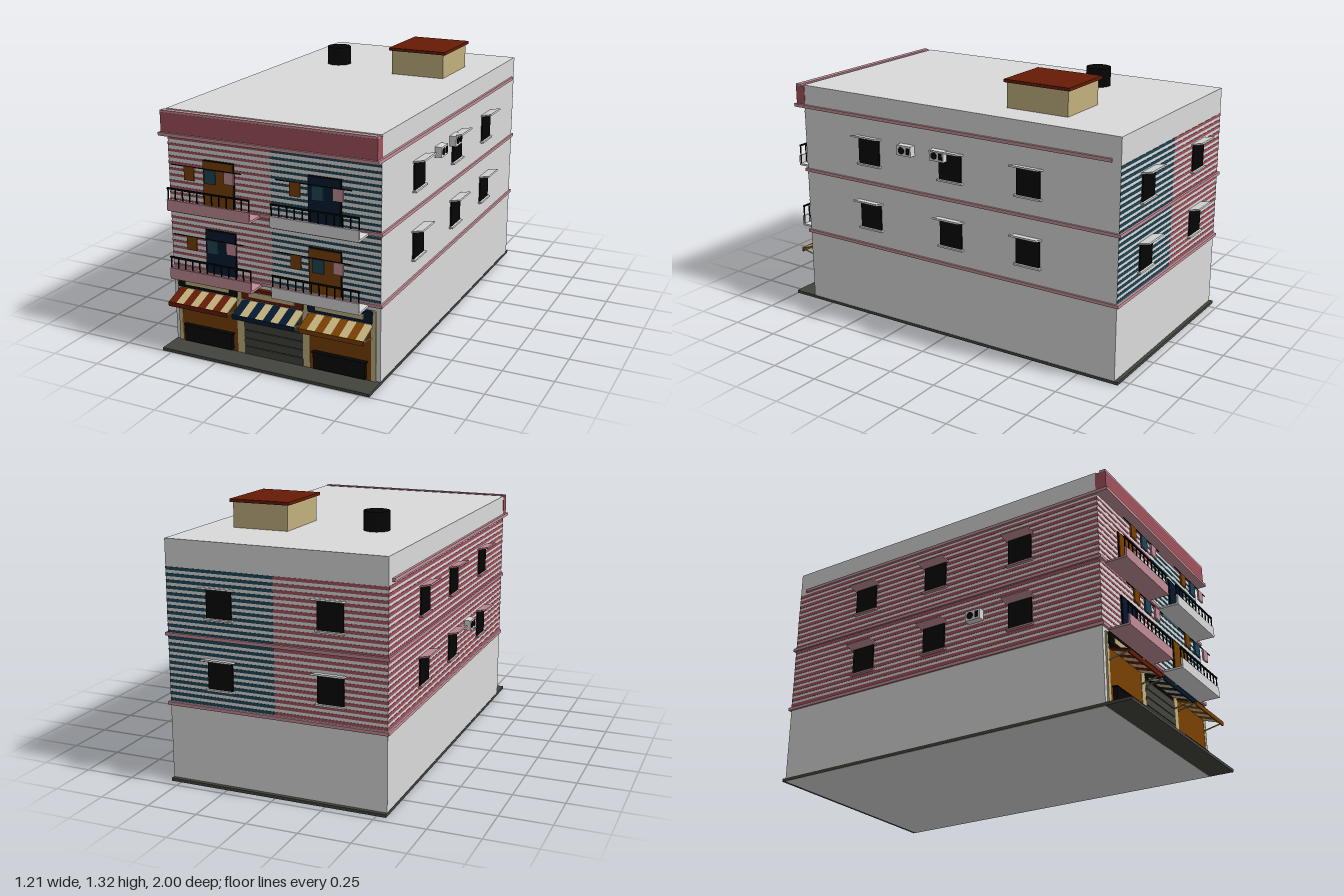
import * as THREE from 'three';

const mat = (name, color) => {
  const m = new THREE.MeshStandardMaterial({ color });
  m.name = name;
  return m;
};

export function createModel() {
  const white = mat('white plaster', 0xdadada), pink = mat('light pink', 0xc28d97);
  const rose = mat('dark rose', 0xa2525c), teal = mat('teal', 0x1e4656);
  const brown = mat('orange brown', 0x794002), navy = mat('navy', 0x031a30);
  const beige = mat('beige', 0xc2b07e), red = mat('rust red', 0x661b05);
  const black = mat('black', 0x050505), grey = mat('dark grey', 0x43443e);

  const model = new THREE.Group();
  model.name = 'apartmentBuilding';

  const add = (parent, name, geo, m) => {
    const mesh = new THREE.Mesh(geo, m);
    mesh.name = name;
    parent.add(mesh);
    return mesh;
  };
  // Box given by its minimum and maximum on each axis
  const box = (parent, name, m, x0, x1, y0, y1, z0, z1) => {
    const mesh = add(parent, name, new THREE.BoxGeometry(x1 - x0, y1 - y0, z1 - z0), m);
    mesh.position.set((x0 + x1) / 2, (y0 + y1) / 2, (z0 + z1) / 2);
    return mesh;
  };
  const group = (name, x = 0, y = 0, z = 0, turn = 0) => {
    const g = new THREE.Group();
    g.name = name;
    g.position.set(x, y, z);
    g.rotation.y = turn;
    model.add(g);
    return g;
  };

  const W = 0.546, FRONT = 0.875, BACK = -0.943, T = 0.0015;

  // Main block and pavement
  box(model, 'body', white, -W, W, 0, 1.178, BACK, FRONT);
  box(model, 'pavement', grey, -W - 0.002, W + 0.002, 0.001, 0.016, -0.962, 1);

  // Painted stripes on the upper storeys: rose on the right half, teal on the left
  const stripes = group('wallStripes');
  const pitch = 0.03;
  for (let y = 0.402; y < 1.05; y += pitch) {
    const stripe = (name, m, fill, x0, x1, z0, z1) =>
      box(stripes, name, m, x0, x1, y, y + pitch * fill, z0, z1);
    stripe('frontRoseStripe', rose, 0.4, -W, 0, FRONT - T, FRONT + T);
    stripe('frontTealStripe', teal, 0.4, 0, W, FRONT - T, FRONT + T);
    stripe('sideRoseStripe', rose, 0.55, -W - T, -W + T, BACK, FRONT);
    stripe('backRoseStripe', rose, 0.5, -W, 0, BACK - T, BACK + T);
    stripe('backTealStripe', teal, 0.5, 0, W, BACK - T, BACK + T);
  }

  // Floor bands and front parapet
  for (const y of [0.382, 0.72])
    box(model, 'floorBand', pink, -0.555, 0.555, y, y + 0.016, -0.955, 0.886);
  box(model, 'roofBand', pink, -0.558, 0.558, 1.06, 1.076, -0.9, 0.935);
  box(model, 'parapet', rose, -0.548, 0.548, 1.076, 1.17, 0.87, 0.925);
  box(model, 'parapetCoping', pink, -0.52, 0.52, 1.165, 1.173, 0.87, 0.9);
  box(model, 'parapetCap', pink, -0.548, 0.548, 1.169, 1.18, 0.894, 0.924);

  // Roof: water tank and stair hut
  add(model, 'waterTank', new THREE.CylinderGeometry(0.063, 0.063, 0.094, 20), black)
    .position.set(-0.273, 1.225, -0.385);
  box(model, 'stairHut', beige, 0.098, 0.383, 1.17, 1.304, -0.583, -0.253);
  box(model, 'stairHutRoof', red, 0.085, 0.395, 1.302, 1.317, -0.596, -0.242);

  // Window with sill and upward-tilted hood, facing local +z, origin at the sill
  const addWindow = (x, y, z, turn, trim) => {
    const g = group('window', x, y, z, turn);
    box(g, 'pane', black, -0.064, 0.064, 0, 0.138, -0.01, 0.007);
    box(g, 'sill', trim, -0.072, 0.072, -0.007, 0.002, -0.01, 0.018);
    const hood = box(g, 'hood', trim, -0.075, 0.075, 0.141, 0.149, -0.004, 0.057);
    hood.rotation.x = -0.22;
  };
  for (const y of [0.485, 0.823]) {
    for (const z of [0.455, -0.038, -0.475]) {
      addWindow(W, y, z, Math.PI / 2, white);
      addWindow(-W, y, z, -Math.PI / 2, pink);
    }
    for (const x of [-0.277, 0.273]) addWindow(x, y, BACK, Math.PI, white);
  }

  // Air conditioners on the side walls
  const addCooler = (x, y, z, turn) => {
    const g = group('airConditioner', x, y, z, turn);
    box(g, 'case', white, -0.042, 0.042, -0.026, 0.026, -0.005, 0.035);
    const fan = add(g, 'fan', new THREE.CylinderGeometry(0.018, 0.018, 0.004, 16), black);
    fan.rotation.x = Math.PI / 2;
    fan.position.set(-0.014, 0, 0.035);
    box(g, 'vent', black, 0.014, 0.034, -0.016, 0.016, 0.033, 0.037);
  };
  addCooler(W, 0.94, 0.215, Math.PI / 2);
  addCooler(W, 0.945, 0.02, Math.PI / 2);
  addCooler(-W, 0.603, 0.208, -Math.PI / 2);

  // Balcony with door, railing and washing line; origin at the centre of its slab
  const addBalcony = (x, y, trim, doorMat, doorX) => {
    const g = group('balcony', x, y, 0);
    box(g, 'slab', trim, -0.219, 0.219, 0, 0.01, 0.87, 0.985);
    box(g, 'curb', trim, -0.219, 0.219, 0, 0.054, 0.977, 0.985);
    box(g, 'railTop', black, -0.219, 0.219, 0.104, 0.112, 0.974, 0.981);
    for (let i = 0; i < 12; i++) {
      const px = -0.215 + i * 0.43 / 11;
      box(g, 'railPost', black, px - 0.0025, px + 0.0025, 0.01, 0.106, 0.974, 0.979);
    }
    box(g, 'doorFrame', black, doorX - 0.083, doorX + 0.083, 0.01, 0.236, 0.87, 0.881);
    box(g, 'door', doorMat, doorX - 0.078, doorX + 0.078, 0.01, 0.23, 0.87, 0.884);
    const c = doorX - 0.012;
    box(g, 'washingLine', black, c - 0.186, c + 0.186, 0.221, 0.225, 0.965, 0.969);
    box(g, 'clothBrown', brown, c - 0.115, c - 0.063, 0.158, 0.223, 0.962, 0.971);
    box(g, 'clothTeal', teal, c - 0.007, c + 0.051, 0.155, 0.22, 0.962, 0.971);
    box(g, 'clothPink', pink, c + 0.097, c + 0.146, 0.165, 0.221, 0.962, 0.971);
  };
  [[0.38, navy, brown], [0.719, brown, navy]].forEach(([y, leftDoor, rightDoor]) => {
    addBalcony(-0.273, y, pink, leftDoor, 0);
    addBalcony(0.271, y, white, rightDoor, 0.002);
  });

  // Ground floor columns
  for (const [x0, x1] of [[-0.525, -0.505], [-0.195, -0.155], [0.153, 0.19], [0.503, 0.525]])
    box(model, 'column', beige, x0, x1, 0.015, 0.362, 0.87, 0.883);

  // Shops: sign, striped awning with valance, then counter front or roller shutter
  const addShop = (x, signMat, awningMat, shutter) => {
    const g = group('shop', x, 0, 0);
    box(g, 'sign', signMat, -0.162, 0.162, 0.303, 0.362, 0.87, 0.893);
    box(g, 'signStripe', beige, -0.121, 0.121, 0.319, 0.345, 0.89, 0.896);
    const n = 8, w = 0.324 / n, slope = Math.atan2(0.036, 0.104);
    for (let i = 0; i < n; i++) {
      const stripe = add(g, 'awningStripe', new THREE.BoxGeometry(w, 0.005, 0.11),
        i % 2 ? beige : awningMat);
      stripe.position.set(-0.162 + (i + 0.5) * w, 0.272, 0.928);
      stripe.rotation.x = slope;
    }
    box(g, 'valance', awningMat, -0.162, 0.162, 0.235, 0.257, 0.977, 0.984);
    for (const s of [-1, 1]) {
      const strut = add(g, 'awningStrut', new THREE.BoxGeometry(0.005, 0.005, 0.108), beige);
      strut.position.set(s * 0.156, 0.238, 0.928);
      strut.rotation.x = -0.22;
    }
    if (shutter) {
      box(g, 'shutterBack', black, -0.157, 0.157, 0.015, 0.29, 0.87, 0.878);
      for (let i = 0; i < 6; i++)
        box(g, 'shutterSlat', grey, -0.157, 0.157, 0.016 + i * 0.042, 0.054 + i * 0.042, 0.87, 0.884);
    } else {
      box(g, 'shopWall', brown, -0.158, 0.158, 0.015, 0.29, 0.87, 0.881);
      box(g, 'counter', black, -0.132, 0.132, 0.026, 0.106, 0.87, 0.902);
      box(g, 'counterTop', black, -0.138, 0.138, 0.106, 0.111, 0.87, 0.905);
    }
  };
  addShop(-0.351, black, red, false);
  addShop(-0.001, red, navy, true);
  addShop(0.348, navy, brown, false);

  return model;
}
